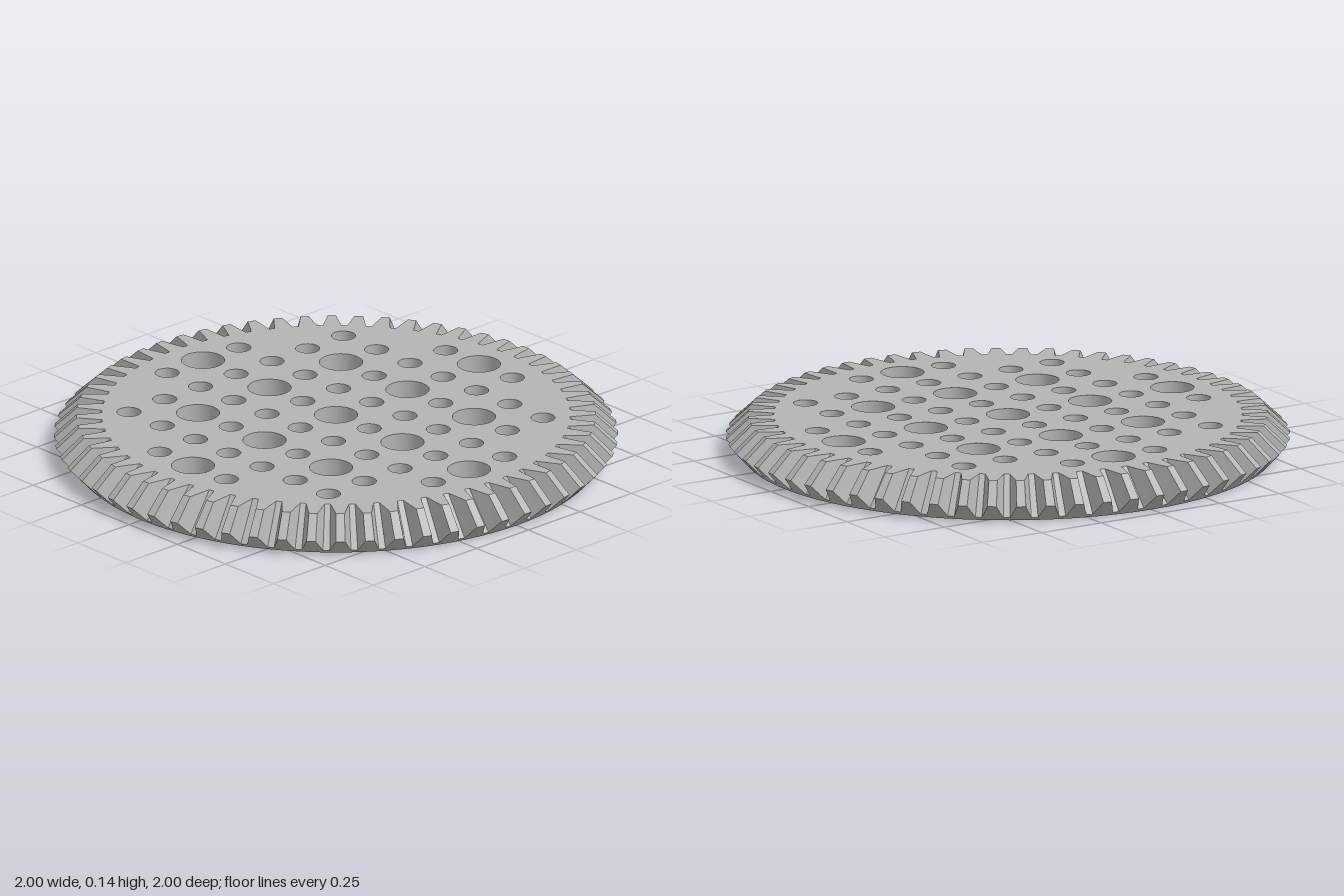
import * as THREE from 'three';
import { mergeGeometries } from 'three/addons/utils/BufferGeometryUtils.js';

const TEETH = 60;
const HEIGHT = 0.14;
const PITCH = 0.173; // spacing of the hole grid
// one tooth: [offset in tooth pitches, 0 = root .. 1 = tip]
const TOOTH = [[-0.38, 0], [-0.26, 0.5], [-0.155, 1], [0.155, 1], [0.26, 0.5], [0.38, 0]];

// Samples the tooth outline once around, between a root and a tip [radius, y]
function toothRing(root, tip) {
  const ring = [];
  for (let i = 0; i < TEETH; i++) {
    for (const [u, f] of TOOTH) {
      const a = ((i + u) / TEETH) * Math.PI * 2;
      const r = THREE.MathUtils.lerp(root[0], tip[0], f);
      const y = THREE.MathUtils.lerp(root[1], tip[1], f);
      ring.push(new THREE.Vector3(r * Math.cos(a), y, -r * Math.sin(a)));
    }
  }
  return ring;
}

// Flat-shaded outward-facing strip between two rings
function band(lower, upper) {
  const pts = [];
  lower.forEach((p, i) => {
    const j = (i + 1) % lower.length;
    pts.push(p, lower[j], upper[j], p, upper[j], upper[i]);
  });
  const g = new THREE.BufferGeometry().setFromPoints(pts);
  g.computeVertexNormals();
  return g;
}

// Square grid of holes; axle holes are large, pin holes small
function holeList() {
  const holes = [];
  for (let i = -4; i <= 4; i++) {
    for (let j = -4; j <= 4; j++) {
      const far = Math.max(Math.abs(i), Math.abs(j));
      const near = Math.min(Math.abs(i), Math.abs(j));
      if (far === 4 && near > 1) continue;
      const large = i % 2 === 0 && j % 2 === 0;
      holes.push({ x: i * PITCH, z: j * PITCH, r: large ? 0.077 : 0.043 });
    }
  }
  return holes;
}

// Flat face bounded by a ring and pierced by the holes
function piercedFace(ring, holes) {
  const shape = new THREE.Shape(ring.map((p) => new THREE.Vector2(p.x, -p.z)));
  for (const h of holes) {
    shape.holes.push(new THREE.Path().absarc(h.x, -h.z, h.r, 0, Math.PI * 2, true));
  }
  return new THREE.ShapeGeometry(shape, 16);
}

export function createModel() {
  const group = new THREE.Group();
  group.name = 'bevelGear';
  const grey = new THREE.MeshStandardMaterial({ color: 0xb4b4b4 });
  grey.name = 'grey';
  const add = (name, geometry) => {
    const mesh = new THREE.Mesh(geometry, grey);
    mesh.name = name;
    group.add(mesh);
  };

  const holes = holeList();
  const base = toothRing([0.94, 0], [0.94, 0]);
  const back = toothRing([0.95, 0.012], [1, 0.065]);
  const top = toothRing([0.83, HEIGHT], [0.92, HEIGHT]);

  // Sloping teeth and the cone that closes their outer ends
  add('teeth', band(back, top));
  add('toothEnds', band(base, back));

  // Top and bottom plates
  add('topFace', piercedFace(top, holes).rotateX(-Math.PI / 2).translate(0, HEIGHT, 0));
  add('bottomFace', piercedFace(base, holes).rotateX(Math.PI / 2));

  // Inward-facing hole walls
  add('holeWalls', mergeGeometries(holes.map((h) =>
    new THREE.LatheGeometry([new THREE.Vector2(h.r, HEIGHT), new THREE.Vector2(h.r, 0)], 32)
      .translate(h.x, 0, h.z))));

  return group;
}
